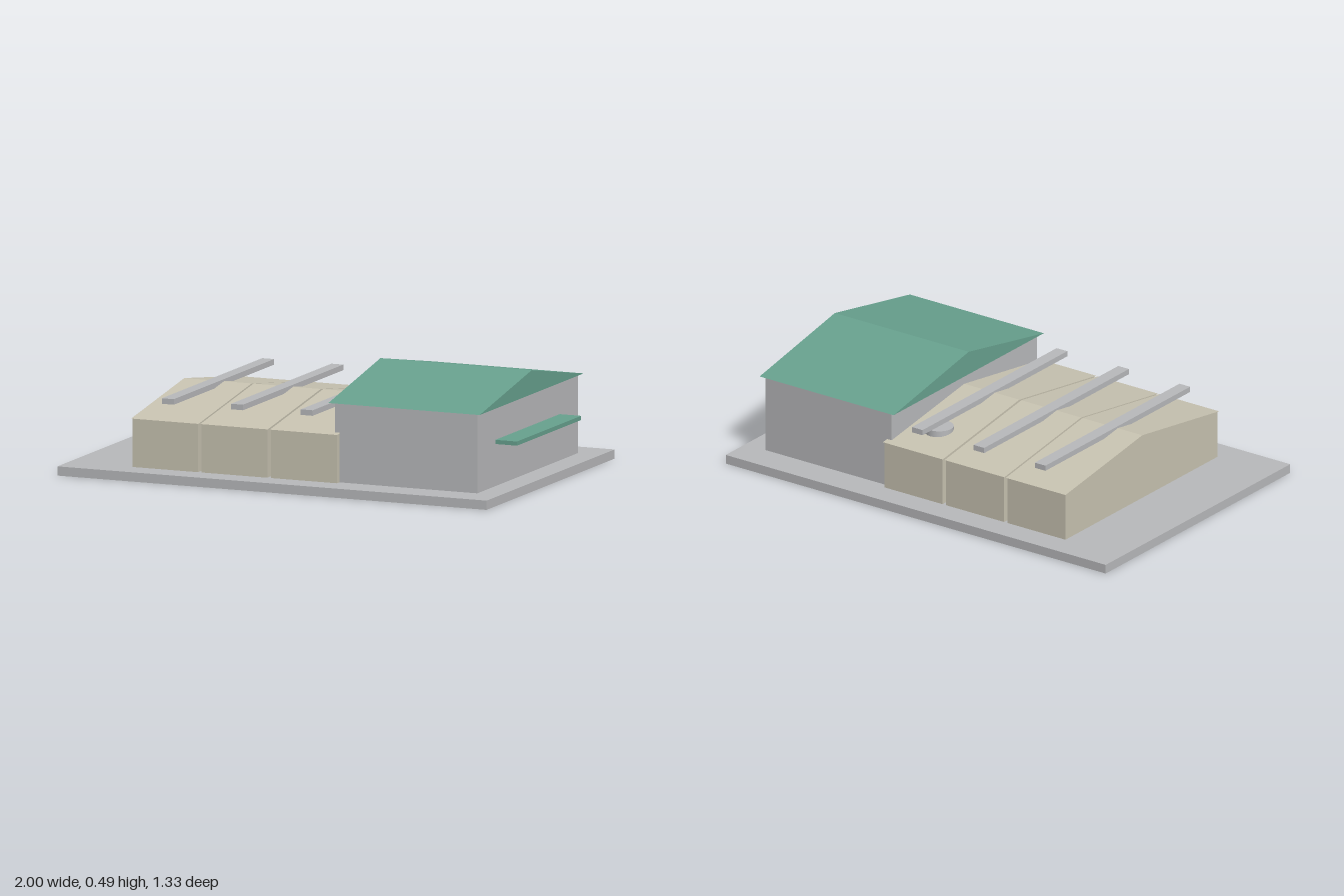
import * as THREE from 'three';

export function createModel() {
  const model = new THREE.Group();
  const mat = (name, color) => new THREE.MeshStandardMaterial({ name, color });
  const grey = mat('concrete grey', 0xb9babc);
  const beige = mat('beige cladding', 0xc9c4b2);
  const green = mat('green roofing', 0x68a28f);

  const add = (name, geometry, material, parent = model) => {
    const mesh = new THREE.Mesh(geometry, material);
    mesh.name = name;
    parent.add(mesh);
    return mesh;
  };

  // Box given by its lower and upper limits on each axis
  const box = (name, [x0, x1], [y0, y1], [z0, z1], material, parent) => {
    const mesh = add(name, new THREE.BoxGeometry(x1 - x0, y1 - y0, z1 - z0), material, parent);
    mesh.position.set((x0 + x1) / 2, (y0 + y1) / 2, (z0 + z1) / 2);
    return mesh;
  };

  // Solid gable roof with its ridge along x
  const gable = (name, [x0, x1], eave, ridge, halfDepth, material, parent) => {
    const shape = new THREE.Shape([
      new THREE.Vector2(-halfDepth, eave),
      new THREE.Vector2(halfDepth, eave),
      new THREE.Vector2(0, ridge),
    ]);
    const geometry = new THREE.ExtrudeGeometry(shape, { depth: x1 - x0, bevelEnabled: false });
    geometry.rotateY(Math.PI / 2).translate(x0, 0, 0);
    return add(name, geometry, material, parent);
  };

  // Ground slab
  box('baseSlab', [-1, 1], [0, 0.04], [-0.667, 0.667], grey);

  // Three low sheds, each with a gable roof and a level roof beam
  [-0.55, -0.2275, 0.097].forEach((x, i) => {
    const shed = new THREE.Group();
    shed.name = `shed${i + 1}`;
    model.add(shed);
    box('shedWalls', [x - 0.153, x + 0.153], [0.04, 0.25], [-0.55, 0.55], beige, shed);
    gable('shedRoof', [x - 0.157, x + 0.157], 0.25, 0.333, 0.555, beige, shed);
    box('roofBeam', [x - 0.028, x + 0.028], [0.318, 0.342], [-0.523, 0.523], grey, shed);
  });

  // Round roof vent on the shed next to the hall
  const vent = add('roofVent', new THREE.CylinderGeometry(0.0625, 0.0625, 0.05, 24), grey);
  vent.position.set(0.1, 0.273, -0.36);

  // Tall hall with green roof and end canopy
  box('hallWalls', [0.23, 0.893], [0.04, 0.384], [-0.525, 0.525], grey);
  gable('hallRoof', [0.207, 0.912], 0.383, 0.487, 0.543, green);
  box('endCanopy', [0.88, 0.993], [0.222, 0.24], [-0.335, 0.335], green);

  return model;
}
